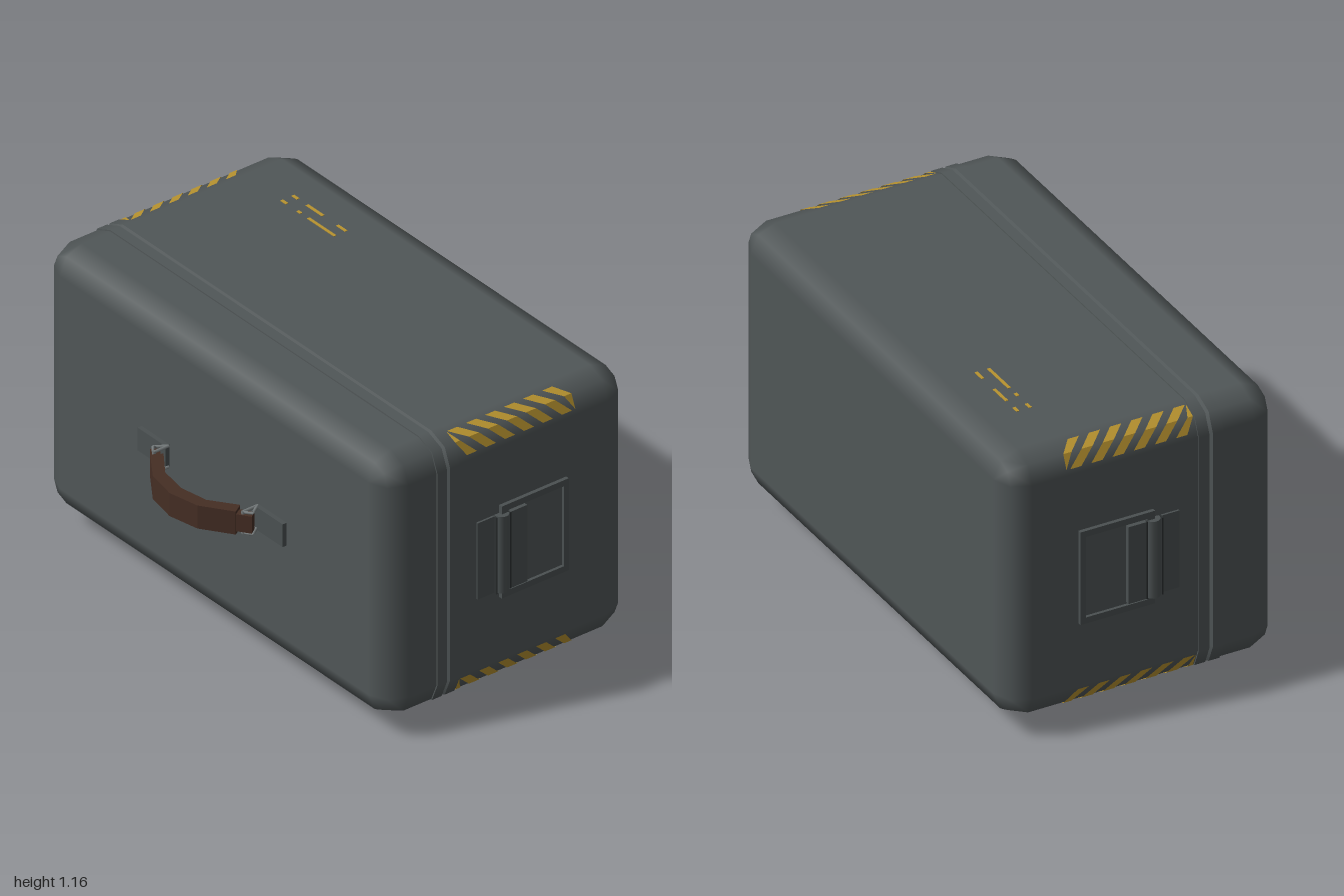
import * as THREE from 'three';

const mat = (name, color, side = THREE.FrontSide) => {
  const m = new THREE.MeshStandardMaterial({ color, side });
  m.name = name;
  return m;
};

export function createModel() {
  const body = mat('case grey', 0x505657);
  const metal = mat('fitting grey', 0x4a5051);
  const steel = mat('light steel', 0x777d7e);
  const dark = mat('dark grey', 0x2c3031);
  const leather = mat('leather brown', 0x452e24);
  const knobBrown = mat('knob brown', 0x5a3526);
  const yellow = mat('warning yellow', 0xb8932f, THREE.DoubleSide);
  const bulbYellow = mat('bulb yellow', 0xd2a63c);
  const green = mat('screen green', 0x35703a);
  const shade = mat('screen shade', 0x2a2216, THREE.DoubleSide);

  const root = new THREE.Group();
  const add = (name, geo, m, x = 0, y = 0, z = 0, parent = root) => {
    const mesh = new THREE.Mesh(geo, m);
    mesh.name = name;
    mesh.position.set(x, y, z);
    parent.add(mesh);
    return mesh;
  };
  // box given by its min and max on each axis
  const box = (name, m, [x0, x1], [y0, y1], [z0, z1], parent = root) =>
    add(name, new THREE.BoxGeometry(x1 - x0, y1 - y0, z1 - z0), m,
      (x0 + x1) / 2, (y0 + y1) / 2, (z0 + z1) / 2, parent);
  // thin wire through points
  const wire = (name, m, pts, r, parent = root, closed = false) => {
    const path = new THREE.CurvePath();
    const v = pts.map(p => new THREE.Vector3(...p));
    if (closed) v.push(v[0]);
    for (let i = 0; i < v.length - 1; i++) path.add(new THREE.LineCurve3(v[i], v[i + 1]));
    return add(name, new THREE.TubeGeometry(path, (v.length - 1) * 4, r, 6), m, 0, 0, 0, parent);
  };

  // case: rounded rings lofted along z as [z, inset, normal tilt], with two rims and a seam
  const W = 0.965, H = 0.5375, CY = 0.6125, R = 0.1;
  const rings = [
    [-0.645, R, -90], [-0.616, 0.029, -45], [-0.545, 0, 0], [0.12, 0, 0],
    [0.12, 0, -90], [0.12, -0.005, -90], [0.12, -0.005, 0], [0.163, -0.005, 0],
    [0.163, -0.005, 60], [0.17, 0.02, 60], [0.17, 0.02, -60], [0.177, -0.005, -60],
    [0.177, -0.005, 0], [0.22, -0.005, 0], [0.22, -0.005, 90], [0.22, 0, 90],
    [0.22, 0, 0], [0.345, 0, 0], [0.416, 0.029, 45], [0.445, R, 90],
  ];
  const pos = [], nor = [], idx = [], N = 12;
  rings.forEach(([z, inset, tilt], i) => {
    const t = THREE.MathUtils.degToRad(tilt);
    for (let j = 0; j < N; j++) {
      const c = Math.floor(j / 3), a = (c * 2 + j % 3) * Math.PI / 4;
      const sx = c === 0 || c === 3 ? 1 : -1, sy = c < 2 ? 1 : -1;
      pos.push(sx * (W - R) + (R - inset) * Math.cos(a), CY + sy * (H - R) + (R - inset) * Math.sin(a), z);
      nor.push(Math.cos(t) * Math.cos(a), Math.cos(t) * Math.sin(a), Math.sin(t));
      if (i < rings.length - 1) {
        const p = i * N + j, q = i * N + (j + 1) % N;
        idx.push(p, q, q + N, p, q + N, p + N);
      }
    }
  });
  const last = (rings.length - 1) * N;
  for (let j = 1; j < N - 1; j++) idx.push(0, j + 1, j, last, last + j, last + j + 1);
  const shell = new THREE.BufferGeometry();
  shell.setAttribute('position', new THREE.Float32BufferAttribute(pos, 3));
  shell.setAttribute('normal', new THREE.Float32BufferAttribute(nor, 3));
  shell.setIndex(idx);
  add('case', shell, body);

  // slanted hazard stripes wrapped over the four long edges
  const profile = [[0.927, 0.177], [0.707, 0.707], [0.212, 0.912]];
  const clampZ = z => THREE.MathUtils.clamp(z, -0.405, 0.115);
  for (const sx of [1, -1]) for (const sy of [1, -1]) {
    const p = [], ix = [];
    for (let k = -1; k < 6; k++) {
      const base = p.length / 3;
      profile.forEach(([cx, cy], i) => {
        const x = sx * (W - R + R * 1.03 * cx), y = CY + sy * (H - R + R * 1.03 * cy);
        const z = -0.39 + k * 0.085 + (sy > 0 ? i : 2 - i) * 0.058;
        p.push(x, y, clampZ(z), x, y, clampZ(z + 0.045));
      });
      for (const b of [base, base + 2]) ix.push(b, b + 1, b + 3, b, b + 3, b + 2);
    }
    const g = new THREE.BufferGeometry();
    g.setAttribute('position', new THREE.Float32BufferAttribute(p, 3));
    g.setIndex(ix);
    const flat = g.toNonIndexed();
    flat.computeVertexNormals();
    add('hazardStripes', flat, yellow);
  }

  // small abstract paint dashes
  for (const [y, z, list] of [
    [1.151, -0.425, [[-0.65, -0.62], [-0.57, -0.48], [-0.4, -0.35]]],
    [1.151, -0.375, [[-0.65, -0.62], [-0.56, -0.54], [-0.5, -0.35]]],
    [0.074, -0.4, [[0.24, 0.3], [0.36, 0.44], [0.5, 0.56], [0.62, 0.68]]],
    [0.074, -0.22, [[-0.68, -0.64], [-0.6, -0.58]]],
  ]) for (const xs of list) box('paintDash', yellow, xs, [y - 0.001, y + 0.001], [z - 0.006, z + 0.006]);

  // front carrying handle
  const outer = [[-0.24, 0.54], [-0.125, 0.62], [0, 0.645], [0.125, 0.62], [0.24, 0.54]];
  const inner = [[0.215, 0.5], [0.115, 0.572], [0, 0.592], [-0.115, 0.572], [-0.215, 0.5]];
  const gripShape = new THREE.Shape([...outer, ...inner].map(([x, z]) => new THREE.Vector2(x, -z)));
  const grip = new THREE.ExtrudeGeometry(gripShape, { depth: 0.095, bevelEnabled: false });
  grip.rotateX(-Math.PI / 2);
  add('handleGrip', grip, leather, 0, 0.566, 0);
  for (const s of [1, -1]) {
    box('handlePlate', metal, s > 0 ? [0.25, 0.407] : [-0.407, -0.25], [0.566, 0.66], [0.44, 0.463]);
    const tab = add('handleTab', new THREE.BoxGeometry(0.07, 0.07, 0.035), leather, s * 0.247, 0.613, 0.51);
    tab.rotation.y = s * 0.6;
    for (const y of [0.57, 0.656])
      wire('handleBracket', steel, [[s * 0.25, y, 0.45], [s * 0.25, y, 0.52], [s * 0.28, y, 0.495]], 0.006, root, true);
    wire('handlePin', steel, [[s * 0.25, 0.566, 0.515], [s * 0.25, 0.66, 0.515]], 0.007);
  }

  // side fittings: raised frame, hinge plate, hinge roll and flap
  for (const s of [1, -1]) {
    const g = new THREE.Group();
    g.name = s > 0 ? 'leftSideFitting' : 'rightSideFitting';
    root.add(g);
    const X = (a, b) => s > 0 ? [a, b] : [-b, -a];
    const out = X(0.96, 0.98);
    box('frameTop', metal, out, [0.785, 0.81], [-0.36, -0.06], g);
    box('frameBottom', metal, out, [0.43, 0.455], [-0.36, -0.06], g);
    box('frameBack', metal, out, [0.455, 0.785], [-0.36, -0.338], g);
    box('frameFront', metal, out, [0.455, 0.785], [-0.09, -0.06], g);
    box('framePanel', body, X(0.96, 0.968), [0.455, 0.785], [-0.338, -0.09], g);
    box('hingePlate', metal, X(0.96, 0.973), [0.462, 0.777], [-0.035, 0.042], g);
    box('hingeFlap', metal, X(0.96, 0.985), [0.462, 0.777], [-0.17, -0.095], g);
    add('hingeRoll', new THREE.CylinderGeometry(0.028, 0.028, 0.315, 10), metal, s * 0.972, 0.62, -0.065, g);
    for (const z of [-0.033, -0.095])
      box('hingeGroove', dark, X(0.96, 0.987), [0.462, 0.777], [z - 0.003, z + 0.003], g);
  }

  // underside seam latches
  for (const x of [0.6, -0.6]) {
    const g = new THREE.Group();
    g.name = 'latch';
    g.position.x = x;
    root.add(g);
    box('latchCatch', metal, [-0.09, 0.09], [0.058, 0.08], [0.19, 0.3], g);
    box('latchBase', metal, [-0.09, 0.09], [0.058, 0.08], [0.03, 0.15], g);
    box('latchLever', metal, [-0.045, 0.045], [0.046, 0.06], [0.04, 0.13], g);
    wire('latchLoop', steel, [[-0.055, 0.053, 0.09], [-0.055, 0.053, 0.235], [0.055, 0.053, 0.235], [0.055, 0.053, 0.09]], 0.008, g, true);
    box('latchHook', metal, [-0.03, 0.03], [0.045, 0.06], [0.2, 0.23], g);
  }

  // underside screen with frame
  box('screenFlange', metal, [-0.49, -0.01], [0.07, 0.08], [-0.425, 0.03]);
  box('screenFrame', metal, [-0.46, -0.04], [0.045, 0.075], [-0.39, -0.355]);
  box('screenFrame', metal, [-0.46, -0.04], [0.045, 0.075], [-0.035, 0]);
  box('screenFrame', metal, [-0.46, -0.425], [0.045, 0.075], [-0.355, -0.035]);
  box('screenFrame', metal, [-0.075, -0.04], [0.045, 0.075], [-0.355, -0.035]);
  box('screen', green, [-0.425, -0.075], [0.064, 0.072], [-0.355, -0.035]);
  const blob = (pts) => {
    const g = new THREE.ShapeGeometry(new THREE.Shape(pts.map(([x, z]) => new THREE.Vector2(x, z))));
    g.rotateX(Math.PI / 2);
    add('screenPattern', g, shade, 0, 0.0625, 0);
  };
  blob([[-0.075, -0.06], [-0.15, -0.08], [-0.2, -0.06], [-0.28, -0.09], [-0.34, -0.07], [-0.425, -0.1],
    [-0.425, -0.19], [-0.36, -0.16], [-0.3, -0.2], [-0.24, -0.17], [-0.2, -0.24], [-0.14, -0.22], [-0.11, -0.3], [-0.075, -0.28]]);
  blob([[-0.25, -0.3], [-0.32, -0.27], [-0.36, -0.31], [-0.3, -0.34]]);

  // underside knobs
  for (const z of [0, -0.245]) {
    add('knob', new THREE.CylinderGeometry(0.058, 0.045, 0.05, 14), knobBrown, 0.115, 0.052, z);
    add('knobCap', new THREE.CylinderGeometry(0.038, 0.036, 0.006, 14), dark, 0.115, 0.025, z);
  }
  // underside bulbs and toggle switches
  for (const x of [0.265, 0.395]) {
    add('bulbCollar', new THREE.CylinderGeometry(0.026, 0.026, 0.012, 12), metal, x, 0.072, 0);
    add('bulb', new THREE.SphereGeometry(0.023, 12, 8), bulbYellow, x, 0.058, 0);
    add('toggleCollar', new THREE.CylinderGeometry(0.026, 0.022, 0.02, 10), metal, x, 0.068, -0.215);
    const lever = add('toggleLever', new THREE.CylinderGeometry(0.008, 0.013, 0.072, 8), steel, x, 0.037, -0.232);
    lever.rotation.x = 0.5;
  }
  return root;
}
